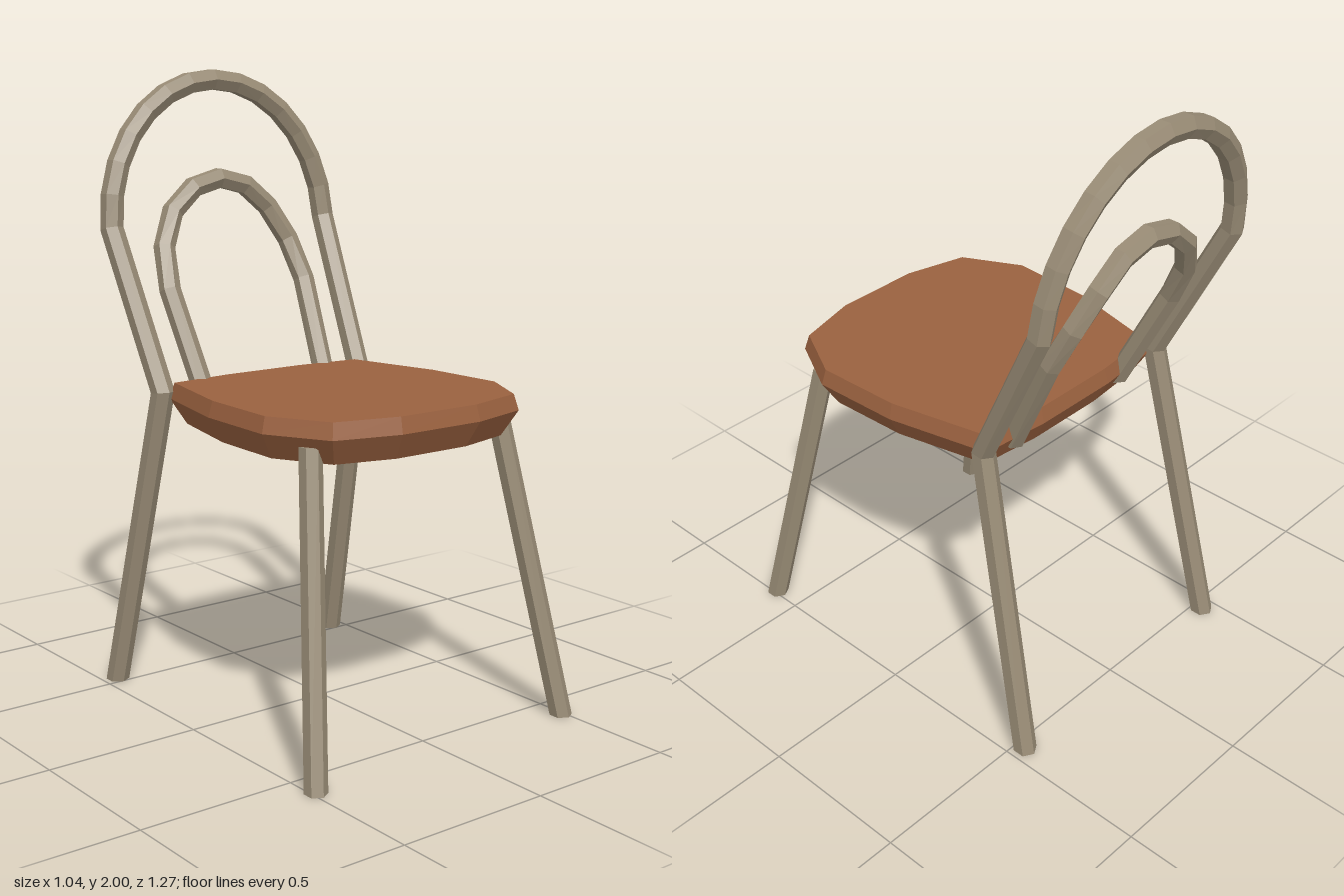
import * as THREE from 'three';

const V = (x, y, z) => new THREE.Vector3(x, y, z);
const wood = new THREE.MeshStandardMaterial({ color: 0x988b75, flatShading: true });
const seatWood = new THREE.MeshStandardMaterial({ color: 0x9a613f, flatShading: true });

// Skin a list of equal-length rings and cap both ends
function loft(rings) {
  const n = rings[0].length, pos = [];
  const tri = (...corners) => corners.forEach(p => pos.push(p.x, p.y, p.z));
  for (let r = 0; r < rings.length - 1; r++) {
    const a = rings[r], b = rings[r + 1];
    for (let i = 0; i < n; i++) {
      const j = (i + 1) % n;
      tri(a[i], a[j], b[j]);
      tri(a[i], b[j], b[i]);
    }
  }
  const first = rings[0], last = rings[rings.length - 1];
  for (let i = 1; i < n - 1; i++) {
    tri(first[0], first[i + 1], first[i]);
    tri(last[0], last[i], last[i + 1]);
  }
  const g = new THREE.BufferGeometry();
  g.setAttribute('position', new THREE.Float32BufferAttribute(pos, 3));
  g.computeVertexNormals();
  return g;
}

// Six-sided rod along a path with mitred joints; the two ends are cut level
function rod(path, radius) {
  const dirs = path.slice(1).map((p, i) => p.clone().sub(path[i]).normalize());
  const rings = path.map((p, i) => {
    const d = dirs[Math.min(i, dirs.length - 1)];
    const end = i === 0 || i === path.length - 1;
    const mitre = end ? V(0, 1, 0) : dirs[i - 1].clone().add(dirs[i]).normalize();
    const depth = V(0, 0, 1).addScaledVector(d, -d.z).normalize();
    const side = depth.clone().cross(d);
    return Array.from({ length: 6 }, (_, k) => {
      const t = (k + 0.5) * Math.PI / 3;
      const o = side.clone().multiplyScalar(Math.cos(t) * radius)
        .addScaledVector(depth, Math.sin(t) * radius);
      o.addScaledVector(d, -o.dot(mitre) / d.dot(mitre));
      return o.add(p);
    });
  });
  return loft(rings);
}

// Depth of the leaning, kinked back at a given height
const backZ = y => y < 1.5
  ? THREE.MathUtils.mapLinear(y, 1, 1.5, -0.307, -0.545)
  : THREE.MathUtils.mapLinear(y, 1.5, 1.965, -0.545, -0.595);

// Half-ellipse over the back, from the left side to the right
function arch(halfWidth, baseY, height, segments) {
  return Array.from({ length: segments + 1 }, (_, i) => {
    const t = Math.PI * i / segments, y = baseY + height * Math.sin(t);
    return V(halfWidth * Math.cos(t), y, backZ(y));
  });
}

export function createModel() {
  const chair = new THREE.Group();
  chair.name = 'chair';
  const add = (name, geometry, material) => {
    const mesh = new THREE.Mesh(geometry, material);
    mesh.name = name;
    chair.add(mesh);
  };

  // Seat: faceted outline, bevelled on top and tapering underneath
  const half = [[0.15, 0.57], [0.36, 0.515], [0.462, 0.32], [0.45, 0.03], [0.375, -0.30], [0.15, -0.322]];
  const outline = [...half, ...half.slice().reverse().map(([x, z]) => [-x, z])];
  const midZ = 0.12;
  const layers = [[0.90, 0.9], [0.98, 1], [1.03, 0.97]];
  add('seat', loft(layers.map(([y, s]) =>
    outline.map(([x, z]) => V(x * s, y, midZ + (z - midZ) * s)))), seatWood);

  // Back legs and outer hoop, one continuous rod
  add('backLegsAndOuterHoop', rod([
    V(0.45, 0, -0.532), V(0.395, 1, backZ(1)),
    ...arch(0.425, 1.5, 0.468, 14),
    V(-0.395, 1, backZ(1)), V(-0.45, 0, -0.532),
  ], 0.037), wood);

  // Inner hoop
  add('innerHoop', rod([
    V(0.24, 0.94, backZ(0.94)),
    ...arch(0.27, 1.3, 0.345, 8),
    V(-0.24, 0.94, backZ(0.94)),
  ], 0.035), wood);

  // Splayed front legs
  for (const [name, s] of [['leftFrontLeg', 1], ['rightFrontLeg', -1]]) {
    add(name, rod([V(0.487 * s, 0, 0.603), V(0.365 * s, 0.95, 0.42)], 0.035), wood);
  }
  return chair;
}
